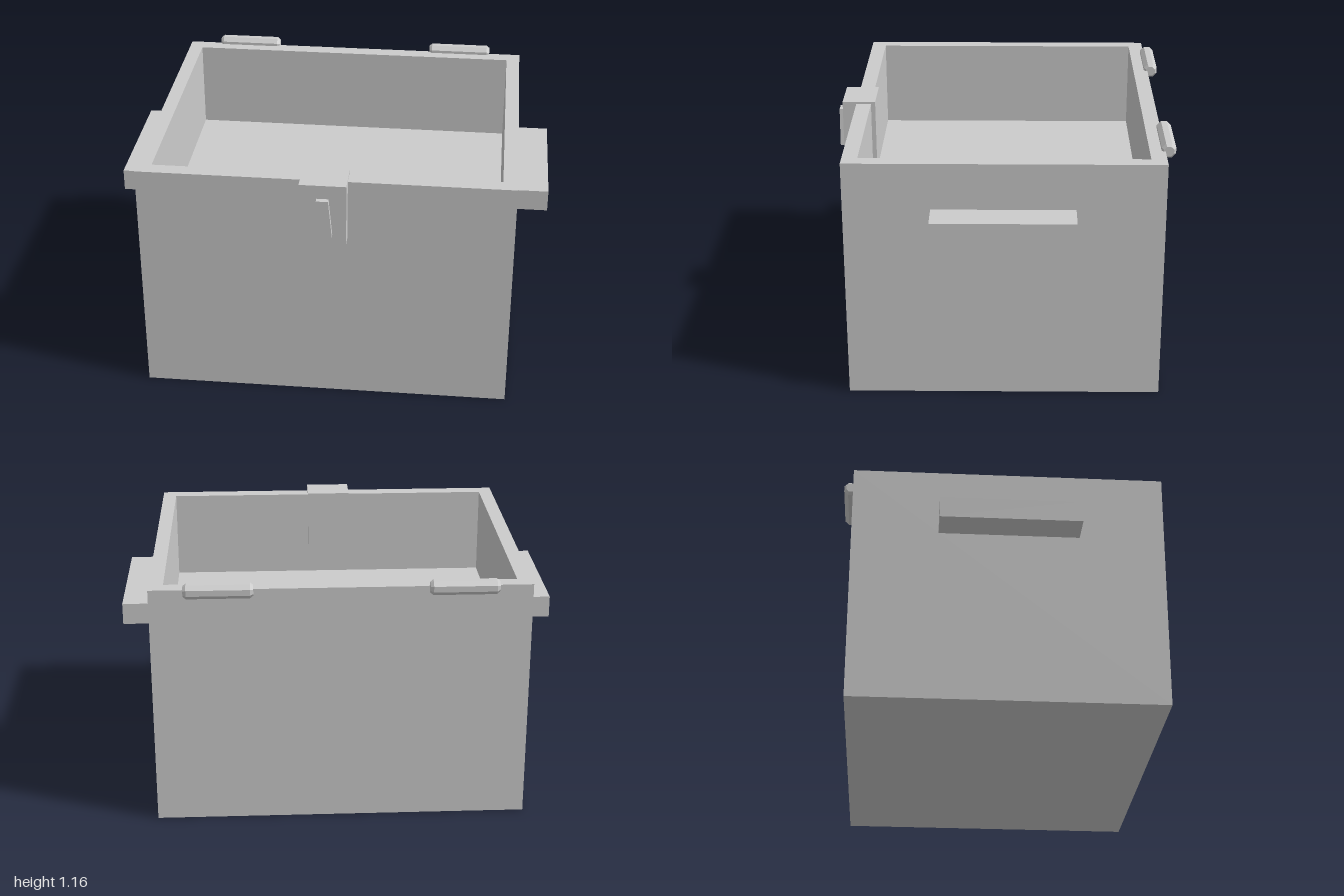
import * as THREE from 'three';

const material = new THREE.MeshStandardMaterial({ color: 0xcccccc });

function addMesh(parent, name, geometry) {
  const mesh = new THREE.Mesh(geometry, material);
  mesh.name = name;
  parent.add(mesh);
  return mesh;
}

// Box given by its minimum and maximum corners
function boxBetween([x0, y0, z0], [x1, y1, z1]) {
  return new THREE.BoxGeometry(x1 - x0, y1 - y0, z1 - z0)
    .translate((x0 + x1) / 2, (y0 + y1) / 2, (z0 + z1) / 2);
}

function polygon(points, Type = THREE.Shape) {
  return new Type(points.map(([x, y]) => new THREE.Vector2(x, y)));
}

export function createModel() {
  const model = new THREE.Group();
  model.name = 'latchedBox';

  // Four walls: rectangular ring extruded upward (shape y becomes -z)
  const ring = polygon([[-0.85, -0.69], [0.85, -0.69], [0.85, 0.73], [-0.85, 0.73]]);
  ring.holes.push(polygon(
    [[-0.785, -0.62], [-0.785, 0.66], [0.785, 0.66], [0.785, -0.62]], THREE.Path));
  addMesh(model, 'walls',
    new THREE.ExtrudeGeometry(ring, { depth: 1.13, bevelEnabled: false }).rotateX(-Math.PI / 2));

  // Raised inner floor, solid down to the base
  addMesh(model, 'floor', boxBetween([-0.785, 0, -0.66], [0.785, 0.71, 0.62]));

  // Front latch clasping the rim, with a tapered button
  const latch = new THREE.Group();
  latch.name = 'latch';
  model.add(latch);
  addMesh(latch, 'latchPlate', boxBetween([-0.105, 0.85, 0.6], [0.105, 1.14, 0.755]));
  const button = polygon([[-0.043, 0.895], [0.043, 0.895], [0.027, 1.075], [-0.027, 1.075]]);
  addMesh(latch, 'latchButton',
    new THREE.ExtrudeGeometry(button, { depth: 0.04, bevelEnabled: false }).translate(0, 0, 0.74));

  // Eight-sided hinge barrel with chamfered ends
  const hinge = new THREE.LatheGeometry(
    [[0, -0.154], [0.024, -0.154], [0.035, -0.14], [0.035, 0.14], [0.024, 0.154], [0, 0.154]]
      .map(([r, y]) => new THREE.Vector2(r, y)), 8)
    .rotateY(Math.PI / 8).rotateZ(Math.PI / 2).toNonIndexed();
  hinge.computeVertexNormals();

  // Mirrored side handles and rear hinges
  for (const [side, s] of [['left', 1], ['right', -1]]) {
    const handle = addMesh(model, side + 'Handle', new THREE.BoxGeometry(0.16, 0.1, 0.64));
    handle.position.set(s * 0.92, 0.865, -0.017);
    const barrel = addMesh(model, side + 'Hinge', hinge);
    barrel.position.set(s * 0.542, 1.13, -0.745);
  }

  return model;
}
